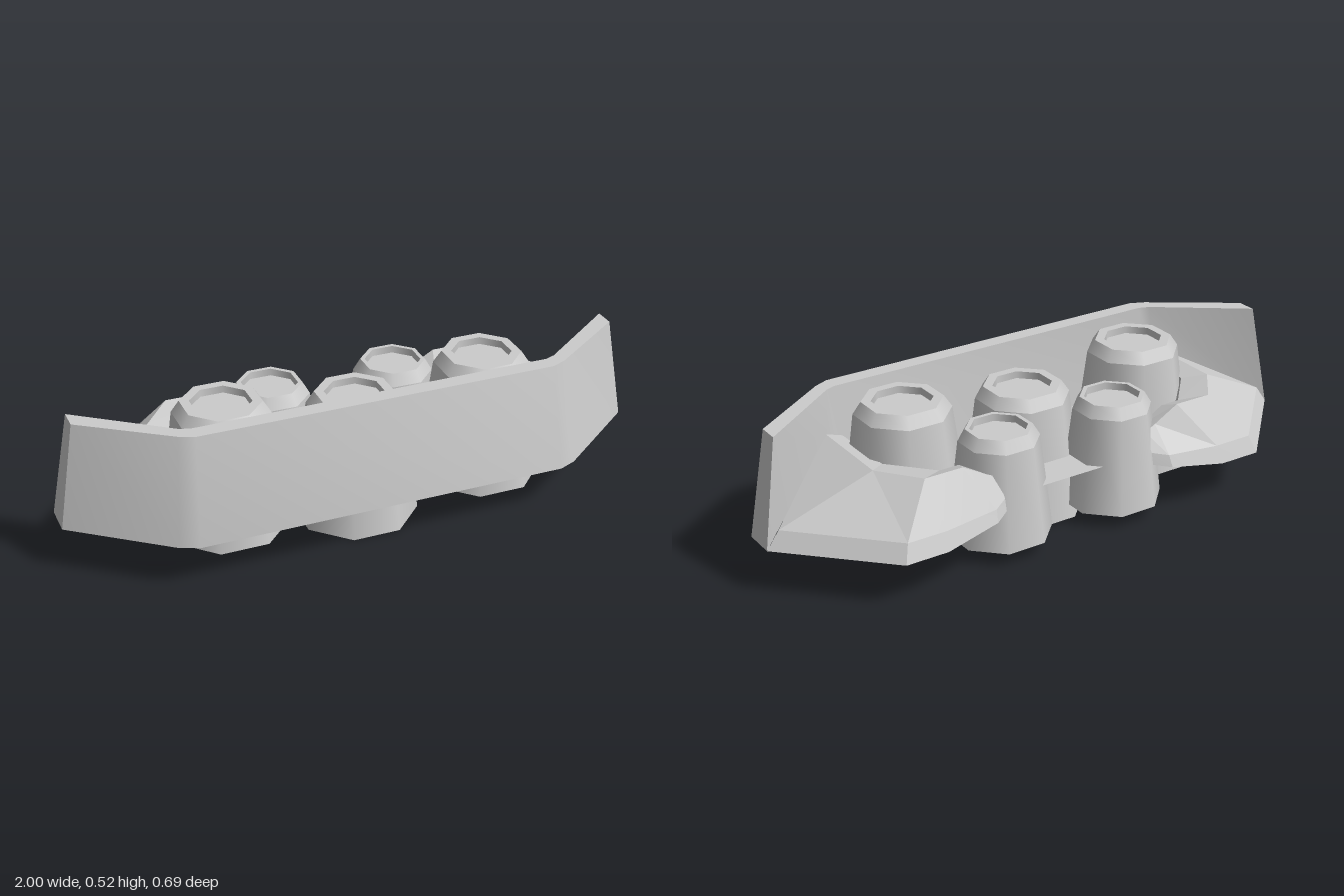
import * as THREE from 'three';
import { mergeGeometries, toCreasedNormals } from 'three/addons/utils/BufferGeometryUtils.js';

const material = new THREE.MeshStandardMaterial({ color: 0xcccccc, side: THREE.DoubleSide });

// Skin a row of open cross-sections (arrays of [x, y, z]), with optional end caps
function loft(sections, crease, capped) {
  const pos = [];
  const same = (p, q) => p.every((v, k) => v === q[k]);
  const tri = (a, b, c) => {
    if (!same(a, b) && !same(b, c) && !same(a, c)) pos.push(...a, ...b, ...c);
  };
  const quad = (a, b, c, d) => { tri(a, b, c); tri(a, c, d); };
  for (let i = 0; i < sections.length - 1; i++) {
    const s = sections[i], t = sections[i + 1];
    for (let j = 0; j < s.length - 1; j++) quad(s[j], s[j + 1], t[j + 1], t[j]);
  }
  if (capped) {
    quad(...[...sections[0]].reverse());
    quad(...sections[sections.length - 1]);
  }
  const g = new THREE.BufferGeometry();
  g.setAttribute('position', new THREE.Float32BufferAttribute(pos, 3));
  return toCreasedNormals(g, crease);
}

const mirror = (section) => section.map(([x, y, z]) => [-x, y, z]);

// Eight-sided tapered drum, open below, smooth around and sharp between bands.
// Widths are given across the flats.
function drumGeometry(profile) {
  const k = 1 / Math.cos(Math.PI / 8);
  const pts = profile.map(([r, y]) => new THREE.Vector2(r * k, y));
  const bands = [];
  for (let i = 0; i < pts.length - 1; i++) {
    bands.push(new THREE.LatheGeometry([pts[i], pts[i + 1]], 8, Math.PI / 8));
  }
  return mergeGeometries(bands);
}

export function createModel() {
  const model = new THREE.Group();
  model.name = 'armouredBarrier';
  const add = (name, geometry) => {
    const mesh = new THREE.Mesh(geometry, material);
    mesh.name = name;
    model.add(mesh);
    return mesh;
  };

  // Front wall, open below: outer bottom, outer top, inner top, inner bottom.
  // The inner skin stops where it meets the wings and the floor.
  const half = [
    [[1, 0.16, 0.08], [0.94, 0.52, 0.067], [0.94, 0.52, -0.003], [1, 0.16, -0.03]],
    [[0.69, 0.16, 0.32], [0.66, 0.52, 0.263], [0.645, 0.52, 0.217], [0.66, 0.36, 0.205]],
    [[0.63, 0.16, 0.345], [0.61, 0.52, 0.285], [0.61, 0.52, 0.23], [0.61, 0.22, 0.21]],
  ];
  add('frontWall', loft([...half, ...half.map(mirror).reverse()], 0.6, true));

  // Rear wings: lower edge, band, rim outside, rim inside, foot on the floor
  const wing = [
    [[1, 0.16, -0.03], [0.957, 0.22, -0.03], [0.66, 0.37, 0.21], [0.6, 0.35, 0.21], [0.58, 0.22, 0.21]],
    [[1, 0.16, -0.03], [0.957, 0.22, -0.03], [0.66, 0.37, -0.1], [0.595, 0.35, -0.04], [0.575, 0.22, -0.02]],
    [[0.69, 0.16, -0.345], [0.67, 0.22, -0.322], [0.555, 0.37, -0.236], [0.47, 0.35, -0.18], [0.45, 0.22, -0.15]],
    [[0.54, 0.16, -0.345], [0.53, 0.22, -0.322], [0.42, 0.37, -0.236], [0.4, 0.35, -0.18], [0.39, 0.22, -0.15]],
    [[0.345, 0.19, -0.32], [0.34, 0.23, -0.305], [0.33, 0.32, -0.236], [0.32, 0.3, -0.18], [0.31, 0.22, -0.15]],
    [[0.29, 0.2, -0.285], [0.29, 0.24, -0.275], [0.29, 0.3, -0.236], [0.29, 0.29, -0.18], [0.29, 0.22, -0.15]],
  ];
  add('leftWing', loft([...wing].reverse(), 0.1, false));
  add('rightWing', loft(wing.map(mirror), 0.1, false));

  // Thin floor joining the drums, wings and wall
  const outline = [[-0.6, -0.21], [0.6, -0.21], [0.6, 0], [0.42, 0.2], [0.33, 0.236], [-0.33, 0.236], [-0.42, 0.2], [-0.6, 0]];
  const floor = new THREE.ShapeGeometry(new THREE.Shape(outline.map(([x, y]) => new THREE.Vector2(x, y))));
  floor.rotateX(-Math.PI / 2);
  add('floor', floor).position.y = 0.22;

  // Three large drums in front, two small ones behind, each with a sunken lid
  const large = drumGeometry([[0.197, 0], [0.148, 0.4], [0.123, 0.44], [0.093, 0.44], [0.093, 0.415], [0, 0.415]]);
  const small = drumGeometry([[0.162, 0], [0.124, 0.33], [0.102, 0.37], [0.088, 0.37], [0.088, 0.345], [0, 0.345]]);
  [[-0.457, 0.06], [0, 0], [0.457, 0.06]].forEach(([x, y], i) => {
    add(`frontDrum${i + 1}`, large).position.set(x, y, 0.063);
  });
  [-0.223, 0.223].forEach((x, i) => {
    add(`rearDrum${i + 1}`, small).position.set(x, 0.05, -0.138);
  });
  return model;
}
